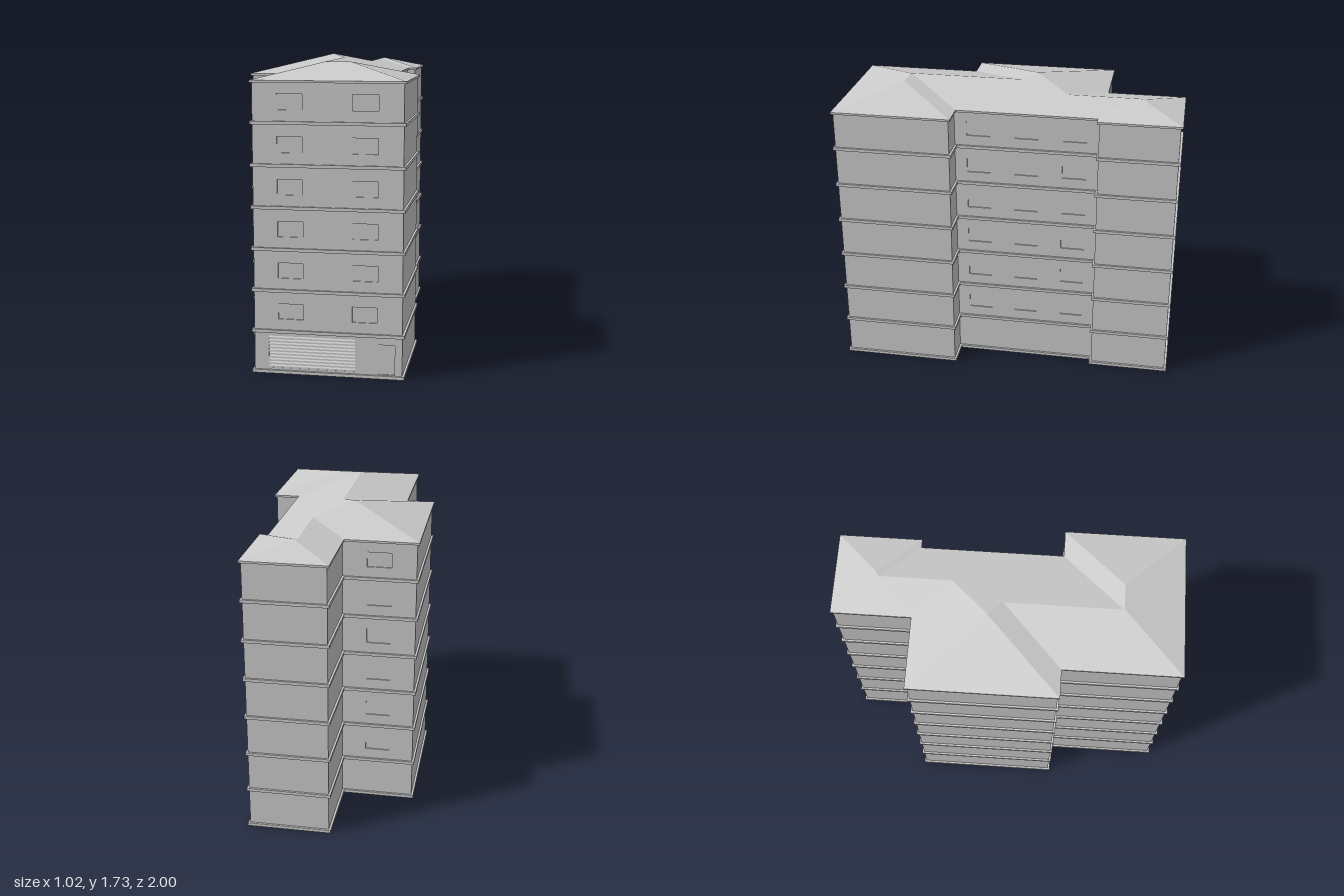
import * as THREE from 'three';

const EAVE = 1.622, SLOPE = 0.248, STOREY = 0.231, OVERHANG = 0.012, RECESS = 0.007;
const WALL_TOP = EAVE - 0.008;

// Eaves outline (x, z), stepping around the building
const outline = [
  [-0.085, -1], [0.402, -1], [0.402, -0.521], [0.352, -0.521], [0.352, 0.30], [0.508, 0.30],
  [0.508, 1], [-0.34, 1], [-0.34, 0.32], [-0.508, 0.32], [-0.508, -0.54], [-0.085, -0.54],
];

// Ridge nodes: x, z, distance in from the eaves (sets the height)
const ridge = {
  a: [0.1335, -0.7395, 0.2185], b: [0.1545, -0.7605, 0.2395], c: [0.1625, -0.7605, 0.2395],
  d: [0.1335, -0.3215, 0.2185], e: [-0.078, -0.11, 0.43], f: [0.006, -0.026, 0.346],
  g: [0.006, 0.646, 0.346], h: [0.01, 0.65, 0.35], i: [0.158, 0.65, 0.35],
};
// Ridge nodes that close the roof slope rising from each outline edge
const slopes = ['cb', 'c', 'abc', 'gfeda', 'ihg', 'i', 'hi', 'fgh', 'ef', 'e', 'de', 'bad'];

// Windows per upper storey, by outline edge
const windowCounts = { 3: 3, 6: 2, 10: 1 };
const FRONT = 6;

const material = new THREE.MeshStandardMaterial({ color: 0xcccccc, flatShading: true });

const toShape = points => new THREE.Shape(points.map(p => new THREE.Vector2(...p)));

function addMesh(group, name, geometry) {
  const mesh = new THREE.Mesh(geometry, material);
  mesh.name = name;
  group.add(mesh);
  return mesh;
}

// Move every side of the right-angled outline inwards by t
function inset(t) {
  const n = outline.length;
  const inward = outline.map((p, k) => {
    const q = outline[(k + 1) % n];
    return [-Math.sign(q[1] - p[1]), Math.sign(q[0] - p[0])];
  });
  return outline.map((p, k) => {
    const prev = inward[(k + n - 1) % n];
    return [p[0] + t * (prev[0] + inward[k][0]), p[1] + t * (prev[1] + inward[k][1])];
  });
}

// Horizontal prism of the plan between two heights
function planPrism(points, y0, y1) {
  const geometry = new THREE.ExtrudeGeometry(toShape(points), { depth: y1 - y0, bevelEnabled: false });
  return geometry.rotateX(Math.PI / 2).translate(0, y1, 0);
}

function rectHole(x0, x1, y0, y1) {
  return new THREE.Path([[x0, y0], [x0, y1], [x1, y1], [x1, y0]].map(p => new THREE.Vector2(...p)));
}

// Hipped roof: one planar slope per outline edge
function roofGeometry() {
  const positions = [];
  slopes.forEach((keys, k) => {
    const start = outline[k], end = outline[(k + 1) % outline.length];
    const face = [[...start, 0], [...end, 0], ...[...keys].map(key => ridge[key])];
    const flat = face.map(p => new THREE.Vector2(p[0], p[1]));
    for (const tri of THREE.ShapeUtils.triangulateShape(flat, [])) {
      if (THREE.ShapeUtils.area(tri.map(t => flat[t])) > 0) tri.reverse();
      for (const t of tri) positions.push(face[t][0], EAVE + SLOPE * face[t][2], face[t][1]);
    }
  });
  const geometry = new THREE.BufferGeometry();
  geometry.setAttribute('position', new THREE.Float32BufferAttribute(positions, 3));
  geometry.computeVertexNormals();
  return geometry;
}

// Slatted shutter: saw-tooth section (outwards, up) extruded along x, centred
function shutterGeometry(width, height, slats) {
  const pitch = height / slats, section = [[0, 0]];
  for (let s = 0; s < slats; s++) {
    const y = s * pitch;
    section.push([0.006, y], [0.006, y + pitch * 0.5], [0.001, y + pitch]);
  }
  section.push([0, height]);
  const geometry = new THREE.ExtrudeGeometry(toShape(section), { depth: width, bevelEnabled: false });
  return geometry.rotateY(-Math.PI / 2).translate(width / 2, 0, 0);
}

export function createModel() {
  const model = new THREE.Group();
  model.name = 'apartmentBuilding';

  // Inner core, seen as the panes at the back of each opening
  addMesh(model, 'core', planPrism(inset(OVERHANG + RECESS), 0.002, WALL_TOP));

  // Outer walls with recessed openings
  const walls = new THREE.Group();
  walls.name = 'walls';
  model.add(walls);
  const corners = inset(OVERHANG);
  corners.forEach((p, k) => {
    const q = corners[(k + 1) % corners.length];
    const dx = q[0] - p[0], dz = q[1] - p[1], length = Math.hypot(dx, dz), half = length / 2;
    const midX = (p[0] + q[0]) / 2, midZ = (p[1] + q[1]) / 2;
    const shape = toShape([[-half, 0.002], [half, 0.002], [half, WALL_TOP], [-half, WALL_TOP]]);
    const count = windowCounts[k] || 0;
    for (let storey = 1; storey <= 6; storey++) {
      for (let w = 0; w < count; w++) {
        const x = -half + length * (w + 0.5) / count, y = 0.122 + storey * STOREY;
        shape.holes.push(rectHole(x - 0.07, x + 0.07, y - 0.043, y + 0.043));
      }
    }
    if (k === FRONT) {
      shape.holes.push(rectHole(-0.247 - midX, 0.237 - midX, 0.03, 0.212)); // garage
      shape.holes.push(rectHole(0.365 - midX, 0.455 - midX, 0.022, 0.19)); // entrance
    }
    const geometry = new THREE.ExtrudeGeometry(shape, { depth: RECESS, bevelEnabled: false });
    const wall = addMesh(walls, 'wall', geometry.translate(0, 0, -RECESS));
    wall.position.set(midX, 0, midZ);
    wall.rotation.y = Math.atan2(dz, -dx);
  });

  // Garage shutter in the front opening
  const shutter = addMesh(model, 'garageShutter', shutterGeometry(0.484, 0.182, 10));
  shutter.position.set(-0.005, 0.03, 1 - OVERHANG - RECESS);

  // Projecting floor bands
  for (let storey = 0; storey < 7; storey++) {
    const y = storey * STOREY;
    addMesh(model, 'floorBand', planPrism(outline, y, y + 0.018));
  }

  // Eaves and roof
  addMesh(model, 'eaves', planPrism(outline, EAVE - 0.012, EAVE));
  addMesh(model, 'roof', roofGeometry());
  return model;
}
